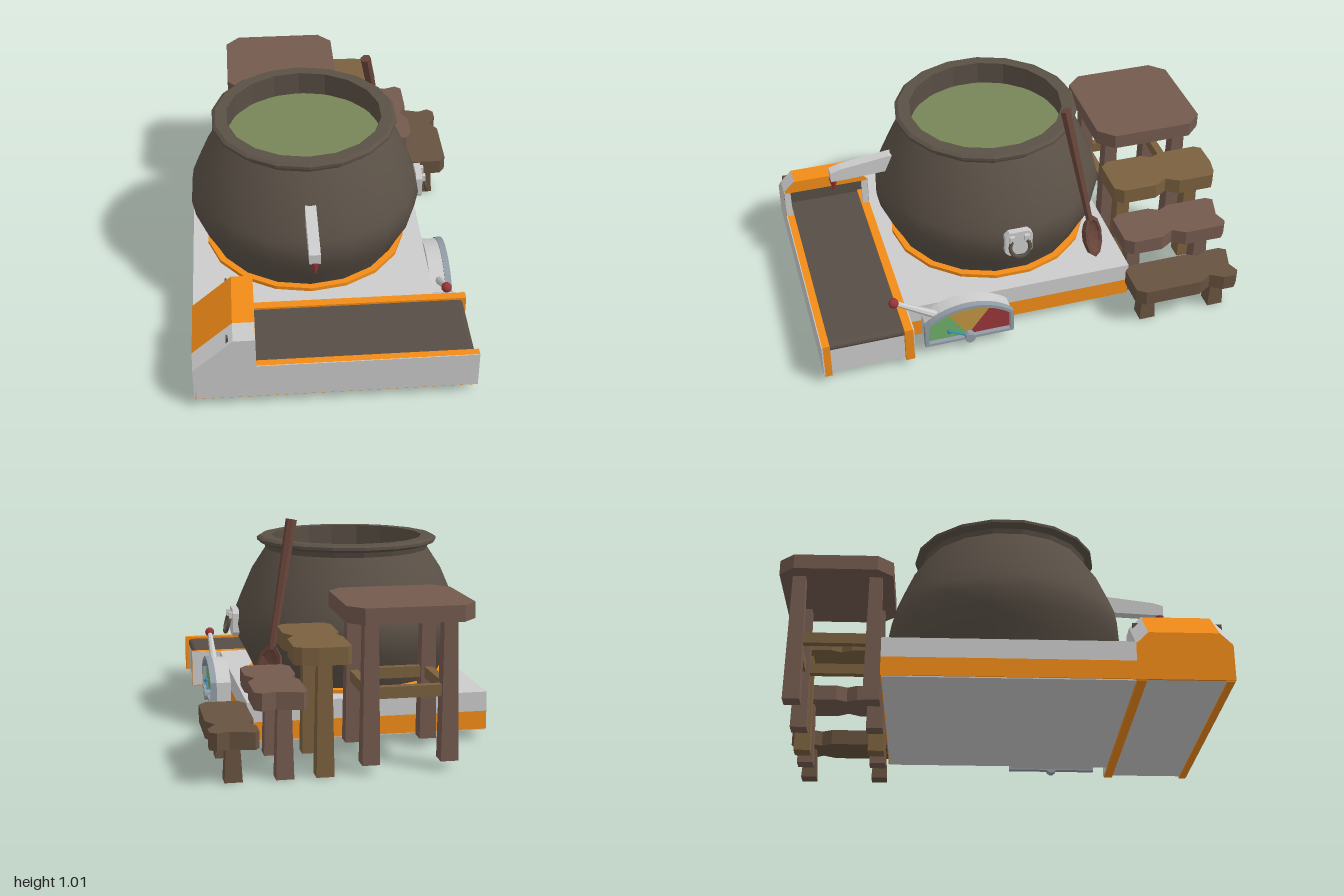
import * as THREE from 'three';

const C = { grey: 0xcccccc, orange: 0xf28c18, iron: 0x5a5046, belt: 0x574e46, soup: 0x788558, red: 0x983539,
  oak: 0x735a4e, pine: 0x7a603e, walnut: 0x67523f, spoon: 0x68453a, steel: 0x929ca6, green: 0x6fae6a, amber: 0xc09440, blue: 0x2f8fb0 };

const V = (x, y, z) => new THREE.Vector3(x, y, z);
const poly = pts => new THREE.Shape(pts.map(p => new THREE.Vector2(p[0], p[1])));

export function createModel() {
  const model = new THREE.Group();

  function add(name, geo, color, { smooth = false, double = false, parent = model } = {}) {
    const mat = new THREE.MeshStandardMaterial({ color, flatShading: !smooth });
    if (double) mat.side = THREE.DoubleSide;
    const mesh = new THREE.Mesh(geo, mat);
    mesh.name = name;
    parent.add(mesh);
    return mesh;
  }
  // box given by its limits
  function box(name, x0, x1, y0, y1, z0, z1, color, parent = model) {
    const g = new THREE.BoxGeometry(x1 - x0, y1 - y0, z1 - z0);
    g.translate((x0 + x1) / 2, (y0 + y1) / 2, (z0 + z1) / 2);
    return add(name, g, color, { parent });
  }
  // round bar between two points
  function rod(name, a, b, ra, rb, color, sides = 8, parent = model) {
    const d = b.clone().sub(a);
    const m = add(name, new THREE.CylinderGeometry(rb, ra, d.length(), sides), color, { parent });
    m.position.copy(a).add(b).multiplyScalar(0.5);
    m.quaternion.setFromUnitVectors(V(0, 1, 0), d.normalize());
    return m;
  }
  // outline drawn in (-z, y), extruded along +x from x0
  function sideways(name, shape, x0, depth, color, z = 0) {
    const g = new THREE.ExtrudeGeometry(shape, { depth, bevelEnabled: false });
    g.rotateY(Math.PI / 2).translate(x0, 0, z);
    return add(name, g, color);
  }

  // platform
  box('platformLower', -0.66, 0.445, 0.045, 0.13, -0.51, 0.58, C.orange);
  box('platformUpper', -0.66, 0.445, 0.13, 0.22, -0.51, 0.58, C.grey);
  box('platformUnderside', -0.655, 0.44, 0.04, 0.045, -0.505, 0.575, C.grey);

  // cauldron
  const SIDES = 18, px = -0.115, pz = 0.04;
  const lathe = (name, pts, color, smooth) => {
    const g = new THREE.LatheGeometry(pts.map(p => new THREE.Vector2(p[0], p[1])), SIDES);
    const m = add(name, g, color, { smooth, double: true });
    m.position.set(px, 0, pz);
    return m;
  };
  lathe('cauldronBody', [[0.44, 0.22], [0.485, 0.315], [0.53, 0.4], [0.545, 0.48], [0.535, 0.54], [0.505, 0.615],
    [0.455, 0.73], [0.39, 0.83]], C.iron, true);
  lathe('cauldronRim', [[0.39, 0.83], [0.397, 0.853], [0.43, 0.867], [0.43, 0.88], [0.415, 0.89], [0.36, 0.89], [0.365, 0.75]], C.iron);
  lathe('burnerRing', [[0.42, 0.22], [0.48, 0.22], [0.48, 0.237], [0.43, 0.237]], C.orange);
  const soup = add('soup', new THREE.CircleGeometry(0.366, SIDES).rotateX(-Math.PI / 2), C.soup);
  soup.position.set(px, 0.775, pz);

  // spout with red nozzle
  sideways('spout', poly([[-0.80, 0.607], [-0.73, 0.607], [-0.47, 0.62], [-0.47, 0.702], [-0.52, 0.7], [-0.75, 0.67], [-0.80, 0.655]]),
    px - 0.025, 0.05, C.grey);
  rod('nozzle', V(px, 0.545, 0.785), V(px, 0.61, 0.785), 0.006, 0.021, C.red);

  // ring handle on its plate
  sideways('handlePlate', poly([[-0.045, 0.42], [0.045, 0.42], [0.065, 0.44], [0.065, 0.53], [0.045, 0.55], [-0.045, 0.55],
    [-0.065, 0.53], [-0.065, 0.44]]), 0.415, 0.03, C.grey, pz);
  for (const s of [-1, 1]) box('handleLug', 0.44, 0.462, 0.505, 0.535, pz + s * 0.035 - 0.012, pz + s * 0.035 + 0.012, C.grey);
  const ring = add('handleRing', new THREE.TorusGeometry(0.047, 0.009, 6, 14, Math.PI * 1.5).rotateZ(Math.PI * 0.75).rotateY(Math.PI / 2), C.iron);
  ring.position.set(0.464, 0.478, pz);
  ring.rotation.z = 0.25;

  // conveyor bed, belt and rails
  box('conveyorBed', -0.65, 0.572, 0.045, 0.18, 0.61, 0.97, C.grey);
  box('belt', -0.62, 0.555, 0.18, 0.21, 0.62, 0.965, C.belt);
  rod('beltRoller', V(0.555, 0.19, 0.62), V(0.555, 0.19, 0.965), 0.02, 0.02, C.belt, 12);
  box('railInner', -0.655, 0.59, 0.04, 0.22, 0.58, 0.62, C.orange);
  box('railOuter', -0.655, 0.59, 0.04, 0.22, 0.962, 0.996, C.orange);
  box('railCover', -0.385, 0.59, 0.045, 0.22, 0.994, 1.0, C.grey);
  box('innerRailCover', 0.445, 0.59, 0.045, 0.22, 0.576, 0.582, C.grey);

  // conveyor hood: chamfered section that slopes down at the rear
  const section = ([x, h]) => [[0.58, 0.045], [0.58, h - 0.055], [0.635, h], [0.945, h], [1, h - 0.055], [1, 0.045]].map(([z, y]) => [x, y, z]);
  const stations = [[-0.66, 0.265], [-0.48, 0.425], [-0.385, 0.425]].map(section);
  for (let i = 0; i < 5; i++) {
    const v = [];
    for (let s = 0; s < 2; s++) {
      const a = stations[s][i], b = stations[s][i + 1], c = stations[s + 1][i + 1], d = stations[s + 1][i];
      v.push(...a, ...b, ...c, ...a, ...c, ...d);
    }
    const g = new THREE.BufferGeometry();
    g.setAttribute('position', new THREE.Float32BufferAttribute(v, 3));
    g.computeVertexNormals();
    add(i === 2 ? 'hoodTop' : 'hoodSide', g, i === 2 ? C.orange : C.grey, { double: true });
  }
  sideways('hoodEnd', poly(stations[0].map(p => [-p[2], p[1]])), -0.66, 0.01, C.orange);
  sideways('hoodLintel', poly([[-0.995, 0.36], [-0.585, 0.36], [-0.585, 0.372], [-0.637, 0.424], [-0.943, 0.424], [-0.995, 0.372]]),
    -0.40, 0.016, C.orange);
  for (const z of [0.582, 0.968]) box('hoodPost', -0.40, -0.384, 0.2, 0.365, z, z + 0.03, C.grey);
  box('hoodInterior', -0.51, -0.5, 0.2, 0.38, 0.59, 0.99, C.belt);

  // dial housing
  const gz = 0.305;
  const arch = (w, R, y0) => {
    const pts = [[-w, y0], [w, y0]];
    for (let i = 8; i >= -8; i--) { const u = w * i / 8; pts.push([u, -0.066 + Math.sqrt(R * R - u * u)]); }
    return pts;
  };
  const frame = poly(arch(0.212, 0.316, 0.05));
  frame.holes.push(new THREE.Path(arch(0.195, 0.3, 0.063).map(p => new THREE.Vector2(...p))));
  sideways('dialFrame', frame, 0.515, 0.03, C.steel, gz);
  sideways('dialBack', poly(arch(0.205, 0.31, 0.055)), 0.445, 0.072, C.grey, gz);
  // coloured sectors
  const arcY = u => -0.066 + Math.sqrt(0.09 - u * u), hub = [0, 0.064];
  const wing = s => [hub, [s * 0.195, 0.064], [s * 0.195, arcY(0.195)], [s * 0.16, arcY(0.16)], [s * 0.11, arcY(0.11)]];
  const middle = [hub];
  for (let i = 4; i >= -4; i--) middle.push([i * 0.0275, arcY(i * 0.0275)]);
  [['dialGreen', wing(-1), C.green], ['dialAmber', middle, C.amber], ['dialRed', wing(1), C.red]]
    .forEach(([n, p, c]) => sideways(n, poly(p), 0.516, 0.008, c, gz));
  rod('dialHub', V(0.515, 0.06, gz), V(0.557, 0.06, gz), 0.025, 0.025, C.steel, 10);
  rod('dialNeedle', V(0.535, 0.06, gz), V(0.535, 0.11, 0.4), 0.007, 0.004, C.blue, 6);
  add('needleKnob', new THREE.SphereGeometry(0.012, 8, 6), C.blue, { smooth: true }).position.set(0.535, 0.11, 0.4);

  // lever
  rod('lever', V(0.49, 0.19, 0.45), V(0.49, 0.305, 0.635), 0.02, 0.012, C.grey);
  add('leverKnob', new THREE.SphereGeometry(0.024, 10, 8), C.red, { smooth: true }).position.set(0.49, 0.31, 0.645);

  // spoon leaning on the cauldron
  const spoon = new THREE.Group();
  spoon.name = 'spoon';
  const foot = V(0.33, 0.34, -0.37), up = V(0.2, 1.0, -0.25).sub(foot), len = up.length();
  up.normalize();
  const across = up.clone().cross(V(0.74, 0, -0.67)).normalize();
  spoon.applyMatrix4(new THREE.Matrix4().makeBasis(across, up, across.clone().cross(up)).setPosition(foot));
  model.add(spoon);
  rod('spoonHandle', V(0, 0.09, -0.005), V(0, len, 0), 0.017, 0.026, C.spoon, 6, spoon);
  const bowl = new THREE.SphereGeometry(1, 10, 4, 0, Math.PI * 2, 0, Math.PI / 2).rotateX(-Math.PI / 2);
  add('spoonBowl', bowl.clone().scale(0.072, 0.11, 0.05), C.spoon, { double: true, parent: spoon });
  add('spoonHollow', bowl.clone().scale(0.056, 0.092, 0.03), C.spoon, { double: true, parent: spoon });
  const lip = new THREE.RingGeometry(0.8, 1, 10).scale(0.072, 0.11, 1);
  add('spoonLip', lip, C.spoon, { double: true, parent: spoon });

  // wooden stool and three steps
  function plank(name, pts, top, thick, color) {
    const g = new THREE.ExtrudeGeometry(poly(pts), { depth: thick, bevelEnabled: false });
    add(name, g.rotateX(Math.PI / 2).translate(0, top, 0), color);
  }
  function leg(name, x, z, y0, y1, color) {
    const g = new THREE.CylinderGeometry(0.042, 0.054, y1 - y0, 4).rotateY(Math.PI / 4);
    add(name, g, color).position.set(x, (y0 + y1) / 2, z);
  }
  const legZ = [-0.56, -0.91];
  plank('stoolSeat', [[-0.40, -1], [0.02, -1], [0.085, -0.93], [0.085, -0.55], [0.02, -0.48], [-0.40, -0.48], [-0.465, -0.55], [-0.465, -0.93]],
    0.72, 0.07, C.oak);
  for (const x of [-0.36, -0.02]) {
    for (const z of legZ) leg('stoolLeg', x, z, 0.04, 0.655, C.oak);
    box('stoolStretcher', x - 0.018, x + 0.018, 0.32, 0.37, -0.91, -0.56, C.pine);
  }
  for (const z of legZ) box('stoolStretcher', -0.36, -0.02, 0.32, 0.37, z - 0.018, z + 0.018, C.pine);

  const steps = [[0.07, 0.31, 0.565, 0.175, C.pine], [0.255, 0.475, 0.383, 0.345, C.oak], [0.455, 0.66, 0.225, 0.56, C.walnut]];
  steps.forEach(([x0, x1, top, lx, color], i) => {
    const mid = (x0 + x1) / 2, n = [-0.74, -0.72, -0.85][i];
    plank('step', [[x0, -0.97], [x0 + 0.02, -1], [mid + 0.02, i ? -0.97 : -1], [x1 - 0.03, i ? -0.99 : -0.985], [x1, -0.965],
      [x1, n - 0.06], [x1 - 0.035, n], [x1, n + 0.06], [x1, -0.52], [x1 - 0.03, -0.48], [x0 + 0.03, -0.48], [x0, -0.52],
      [x0, n + 0.05], [x0 + 0.025, n], [x0, n - 0.05]], top, 0.075, color);
    for (const z of legZ) leg('stepLeg', lx, z, 0, top - 0.07, color);
  });

  return model;
}
